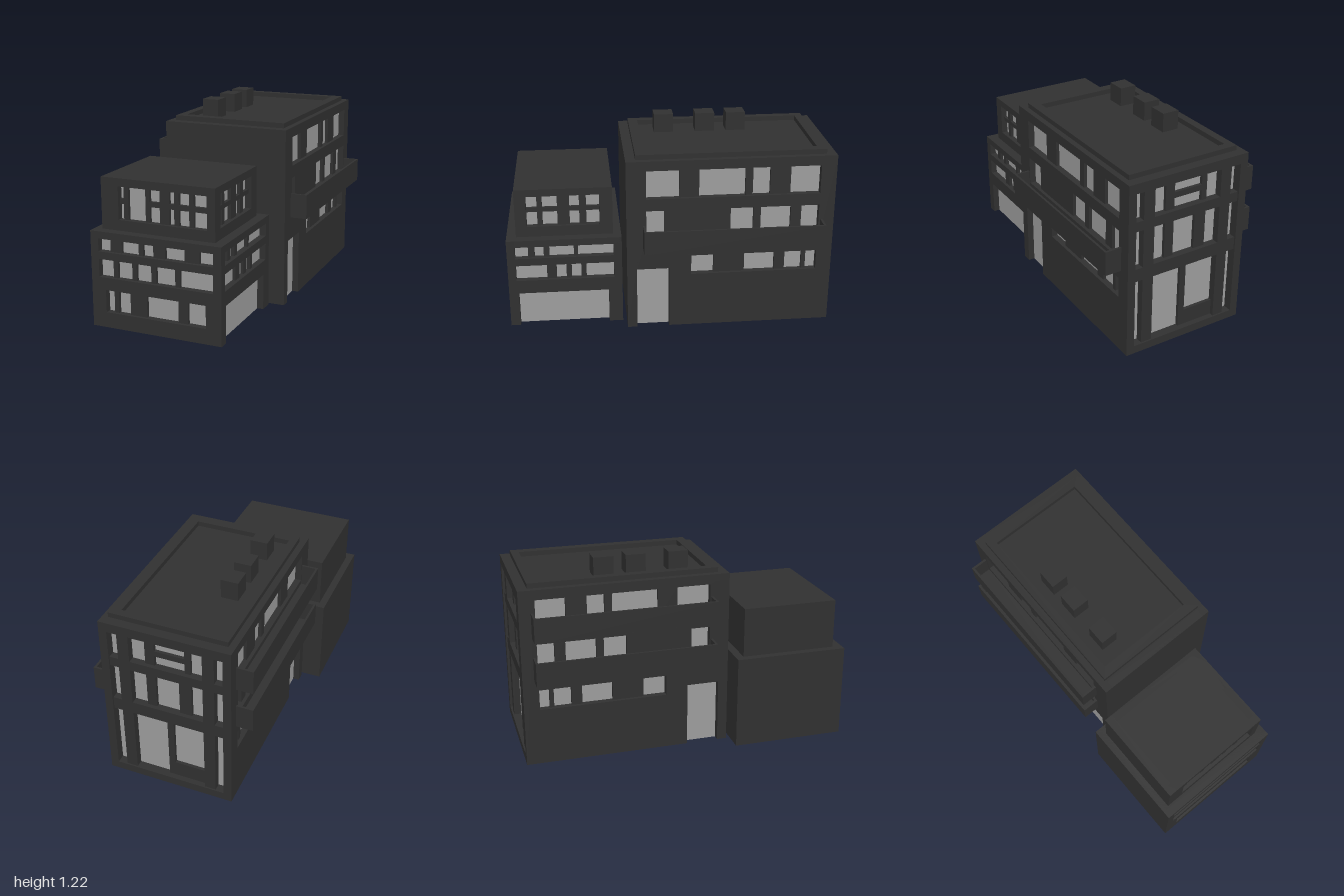
import * as THREE from 'three';

const dark = new THREE.MeshStandardMaterial({ color: 0x303030, side: THREE.DoubleSide });
dark.name = 'charcoal wall';
const glass = new THREE.MeshStandardMaterial({ color: 0x9c9c9c, side: THREE.DoubleSide });
glass.name = 'grey glass';

// Box from its lower and upper limits
function box(parent, name, [x0, x1], [y0, y1], [z0, z1], mat = dark) {
  const m = new THREE.Mesh(new THREE.BoxGeometry(x1 - x0, y1 - y0, z1 - z0), mat);
  m.position.set((x0 + x1) / 2, (y0 + y1) / 2, (z0 + z1) / 2);
  m.name = name;
  parent.add(m);
  return m;
}

function rectPath(target, u0, u1, v0, v1) {
  target.moveTo(u0, v0).lineTo(u1, v0).lineTo(u1, v1).lineTo(u0, v1).closePath();
  return target;
}

// The four directions a wall can face: turn, and sign from world axis to wall axis
const FACING = {
  front: { turn: 0, sign: 1, normal: [0, 0, 1] },
  back: { turn: Math.PI, sign: -1, normal: [0, 0, -1] },
  left: { turn: Math.PI / 2, sign: -1, normal: [1, 0, 0] },
  right: { turn: -Math.PI / 2, sign: 1, normal: [-1, 0, 0] },
};

// Wall with recessed window strips; panes are glass, the gaps between are mullions.
// All spans along the wall are in world x or z.
function wall(parent, name, facing, at, span, ys, { strips = [], door, t = 0.05, inset = 0.02 } = {}) {
  const { turn, sign, normal } = FACING[facing];
  const local = ([a, b]) => [sign * a, sign * b].sort((p, q) => p - q);
  const g = new THREE.Group();
  g.name = name;
  g.rotation.y = turn;
  g.position.set(normal[0] * Math.abs(at), 0, normal[2] * Math.abs(at));
  if (normal[0]) g.position.x = at; else g.position.z = at;
  const [u0, u1] = local(span);
  const shape = new THREE.Shape();
  shape.moveTo(u0, ys[0]);
  if (door) {
    const [d0, d1] = local(door.span);
    shape.lineTo(d0, ys[0]).lineTo(d0, door.top).lineTo(d1, door.top).lineTo(d1, ys[0]);
    box(g, 'doorGlass', [d0, d1], [0, door.top], [-t + 0.004, -t + 0.01], glass);
  }
  shape.lineTo(u1, ys[0]).lineTo(u1, ys[1]).lineTo(u0, ys[1]).closePath();
  for (const { y, panes, bars = [] } of strips) {
    const p = panes.map(local).sort((a, b) => a[0] - b[0]);
    const [s0, s1] = [p[0][0], p[p.length - 1][1]];
    shape.holes.push(rectPath(new THREE.Path(), s0, s1, y[0], y[1]));
    box(g, 'windowGlass', [s0, s1], y, [-t + 0.004, -t + 0.01], glass);
    for (let i = 1; i < p.length; i++) box(g, 'mullion', [p[i - 1][1], p[i][0]], y, [-t + 0.002, -inset]);
    for (const [a, b, v0, v1, depth = inset] of bars) box(g, 'windowBar', local([a, b]), [v0, v1], [-t + 0.002, -depth]);
  }
  const geo = new THREE.ExtrudeGeometry(shape, { depth: t, bevelEnabled: false });
  geo.translate(0, 0, -t);
  const m = new THREE.Mesh(geo, dark);
  m.name = 'wallPanel';
  g.add(m);
  parent.add(g);
}

// Open tray with thin parapets, attached to a side wall
function balcony(parent, side, xIn, xOut, y0, y1) {
  const g = new THREE.Group();
  g.name = side + 'Balcony';
  const s = Math.sign(xOut), w = 0.014, z = [-0.93, 0.17];
  const xs = [xIn, xOut].sort((a, b) => a - b);
  box(g, 'balconyFloor', xs, [y0, y0 + 0.02], z);
  box(g, 'balconyParapet', [xOut - s * w, xOut].sort((a, b) => a - b), [y0, y1], z);
  box(g, 'balconyEnd', xs, [y0, y1], [z[0], z[0] + w]);
  box(g, 'balconyEnd', xs, [y0, y1], [z[1] - w, z[1]]);
  parent.add(g);
}

function tower() {
  const g = new THREE.Group();
  g.name = 'tower';
  const X = [-0.39, 0.405], Z = [-1, 0.27], Y = [0, 1.1];
  const side = {
    door: { span: [0.01, 0.21], top: 0.4 },
    strips: [
      { y: [0.86, 1.04], panes: [[0.15, -0.05], [-0.17, -0.45], [-0.495, -0.6], [-0.725, -0.905]] },
      { y: [0.61, 0.785], panes: [[0.15, 0.04], [-0.365, -0.505], [-0.55, -0.735], [-0.8, -0.905]] },
      { y: [0.353, 0.48], panes: [[-0.125, -0.265], [-0.457, -0.645], [-0.71, -0.816], [-0.842, -0.905]] },
    ],
  };
  wall(g, 'towerLeftWall', 'left', X[1], Z, Y, side);
  wall(g, 'towerRightWall', 'right', X[0], Z, Y, side);
  wall(g, 'towerFrontWall', 'front', Z[1], X, Y);
  // Glazed rear wall with pillars, floor bands and infill panels
  wall(g, 'towerBackWall', 'back', Z[0], X, Y, {
    t: 0.065, inset: 0.01,
    strips: [{
      y: [0.05, 1.04], panes: [[0.355, 0.3], [0.23, -0.215], [-0.285, -0.345]],
      bars: [
        [0.355, -0.345, 0.48, 0.56], [0.355, -0.345, 0.8, 0.86],
        [0.143, 0.084, 0.86, 1.04, 0.035], [-0.1, -0.135, 0.86, 1.04, 0.035], [0.084, -0.1, 0.925, 0.96, 0.035],
        [0.143, 0.084, 0.56, 0.8, 0.035], [-0.06, -0.135, 0.56, 0.8, 0.035],
        [0.025, -0.015, 0.05, 0.48, 0.035], [-0.015, -0.215, 0.05, 0.15, 0.035],
      ],
    }],
  });
  // Roof slab, raised rim and roof boxes
  box(g, 'towerRoof', X, [1.06, 1.1], Z);
  const rim = rectPath(new THREE.Shape(), -0.35, 0.37, -0.21, 0.94);
  rim.holes.push(rectPath(new THREE.Path(), -0.3, 0.31, -0.15, 0.89));
  const rimMesh = new THREE.Mesh(new THREE.ExtrudeGeometry(rim, { depth: 0.03, bevelEnabled: false }), dark);
  rimMesh.rotation.x = -Math.PI / 2;
  rimMesh.position.y = 1.1;
  rimMesh.name = 'roofRim';
  g.add(rimMesh);
  for (const z of [-0.467, -0.27, -0.007]) box(g, 'roofVent', [-0.238, -0.132], [1.1, 1.217], [z - 0.061, z + 0.061]);
  balcony(g, 'left', X[1], 0.507, 0.54, 0.69);
  balcony(g, 'right', X[0], -0.492, 0.54, 0.69);
  balcony(g, 'right', X[0], -0.492, 0.81, 0.962);
  return g;
}

function frontBlock() {
  const g = new THREE.Group();
  g.name = 'frontBlock';
  // Lower storeys
  const X = [-0.51, 0.312], Z = [0.295, 1], Y = [0, 0.58];
  wall(g, 'lowerFrontWall', 'front', Z[1], X, Y, {
    strips: [
      { y: [0.46, 0.537], panes: [[-0.468, -0.391], [-0.317, -0.208], [-0.18, -0.115], [-0.04, 0.08], [0.172, 0.267]] },
      { y: [0.305, 0.415], panes: [[-0.468, -0.375], [-0.346, -0.253], [-0.224, -0.131], [-0.1, 0.02], [0.05, 0.267]] },
      { y: [0.093, 0.23], panes: [[-0.42, -0.375], [-0.346, -0.27], [-0.163, 0.037], [0.097, 0.216]] },
    ],
  });
  wall(g, 'lowerLeftWall', 'left', X[1], Z, Y, {
    door: { span: [0.38, 0.94], top: 0.223 },
    strips: [
      { y: [0.46, 0.537], panes: [[0.955, 0.87], [0.83, 0.775], [0.74, 0.59], [0.565, 0.345]] },
      { y: [0.31, 0.412], panes: [[0.955, 0.76], [0.7, 0.64], [0.607, 0.548], [0.516, 0.345]] },
    ],
  });
  wall(g, 'lowerRightWall', 'right', X[0], Z, Y);
  wall(g, 'lowerBackWall', 'back', Z[0], X, Y);
  box(g, 'lowerRoof', X, [0.545, 0.58], Z);
  // Set-back upper storey
  const UX = [-0.465, 0.25], UZ = [0.345, 0.94], UY = [0.58, 0.888];
  wall(g, 'upperFrontWall', 'front', UZ[1], UX, UY, {
    strips: [{
      y: [0.643, 0.84],
      panes: [[-0.355, -0.33], [-0.3, -0.19], [-0.163, -0.1], [-0.04, -0.01], [0.02, 0.083], [0.112, 0.214]],
      bars: [[-0.355, -0.33, 0.735, 0.765], [-0.163, 0.214, 0.735, 0.765]],
    }],
  });
  wall(g, 'upperLeftWall', 'left', UX[1], UZ, UY, {
    strips: [{
      y: [0.645, 0.843],
      panes: [[0.87, 0.805], [0.773, 0.682], [0.607, 0.548], [0.505, 0.425]],
      bars: [[0.87, 0.425, 0.735, 0.762]],
    }],
  });
  wall(g, 'upperRightWall', 'right', UX[0], UZ, UY);
  wall(g, 'upperBackWall', 'back', UZ[0], UX, UY);
  box(g, 'upperRoof', UX, [0.85, 0.888], UZ);
  return g;
}

export function createModel() {
  const model = new THREE.Group();
  model.name = 'building';
  model.add(tower(), frontBlock());
  return model;
}
